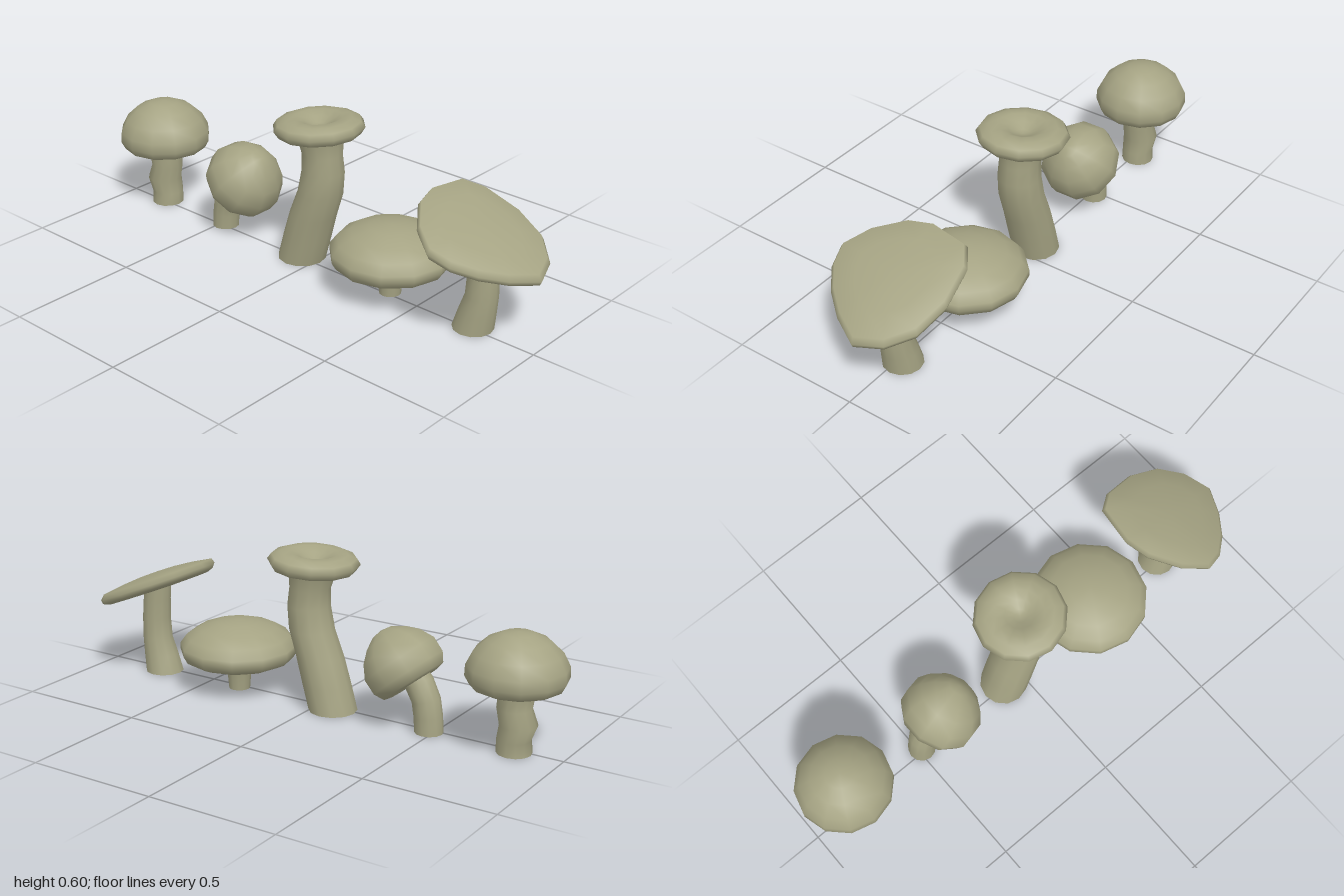
import * as THREE from 'three';
import { mergeVertices } from 'three/addons/utils/BufferGeometryUtils.js';

const material = new THREE.MeshStandardMaterial({ color: 0xa5a383, side: THREE.DoubleSide });
const SIDES = 12;
const Z = -0.017; // depth of the row of mushrooms

function smoothMesh(geometry, name) {
  geometry.deleteAttribute('uv');
  geometry.deleteAttribute('normal');
  const welded = mergeVertices(geometry, 1e-4);
  welded.computeVertexNormals();
  const mesh = new THREE.Mesh(welded, material);
  mesh.name = name;
  return mesh;
}

const lathe = (profile, sides) =>
  new THREE.LatheGeometry(profile.map(([r, y]) => new THREE.Vector2(r, y)), sides);

// Turned cap: profile runs from the underside centre, round the rim, to the crown
function cap(profile, x, y, tilt = 0, sides = SIDES) {
  const mesh = smoothMesh(lathe(profile, sides), 'cap');
  mesh.position.set(x, y, Z);
  mesh.rotation.z = tilt;
  return mesh;
}

// Open bent stem: rings listed from the ground up as [x, y, radius, tilt]
function stem(rings) {
  const g = new THREE.CylinderGeometry(1, 1, 1, SIDES, rings.length - 1, true);
  const p = g.attributes.position;
  for (let i = 0; i < p.count; i++) {
    const row = Math.round((p.getY(i) + 0.5) * (rings.length - 1));
    const [x, y, r, tilt = 0] = rings[row];
    const px = p.getX(i) * r;
    p.setXYZ(i, x + px * Math.cos(tilt), y + px * Math.sin(tilt), Z + p.getZ(i) * r);
  }
  return smoothMesh(g, 'stem');
}

// Irregular sloping cap: lathe rows stretched to an outline and sheared downhill
function shelfCap() {
  const outline = [
    [0.72, 0.245], [0.797, 0.224], [0.872, 0.165], [0.94, 0.08], [0.995, -0.027],
    [0.957, -0.133], [0.877, -0.21], [0.755, -0.24], [0.616, -0.22], [0.547, -0.17],
    [0.525, -0.016], [0.55, 0.08], [0.63, 0.187],
  ];
  const profile = [[0, -0.02], [0.5, -0.024], [0.88, -0.025], [0.97, -0.016], [1, 0.002],
    [0.95, 0.022], [0.6, 0.036], [0.3, 0.043], [0, 0.045]];
  const g = lathe(profile, outline.length);
  const p = g.attributes.position;
  for (let i = 0; i < p.count; i++) {
    const [ox, oz] = outline[Math.floor(i / profile.length) % outline.length];
    const [r, h] = profile[i % profile.length];
    const x = 0.76 + (ox - 0.76) * r;
    p.setXYZ(i, x, 0.363 - 0.41 * (x - 0.755) + h, -0.01 + (oz + 0.01) * r);
  }
  return smoothMesh(g, 'cap');
}

export function createModel() {
  const model = new THREE.Group();
  model.name = 'mushrooms';
  const add = (name, ...parts) => {
    const group = new THREE.Group();
    group.name = name;
    group.add(...parts);
    model.add(group);
  };

  // Round cap on a wavy stem
  add('domedMushroom',
    stem([[-0.82, 0, 0.064], [-0.818, 0.05, 0.062], [-0.833, 0.105, 0.068],
      [-0.815, 0.165, 0.063], [-0.821, 0.21, 0.065], [-0.821, 0.27, 0.068]]),
    cap([[0, 0.262], [0.075, 0.258], [0.1, 0.237], [0.13, 0.235], [0.165, 0.25], [0.181, 0.28],
      [0.179, 0.32], [0.155, 0.368], [0.11, 0.41], [0.055, 0.435], [0, 0.441]], -0.82, 0));

  // Small leaning button
  add('buttonMushroom',
    stem([[-0.482, 0, 0.053], [-0.478, 0.06, 0.053, -0.1], [-0.468, 0.12, 0.053, -0.25],
      [-0.438, 0.18, 0.054, -0.5], [-0.385, 0.235, 0.055, -0.7]]),
    cap([[0, 0], [0.06, -0.012], [0.1, -0.029], [0.132, -0.022], [0.152, 0.012], [0.153, 0.07],
      [0.125, 0.122], [0.085, 0.16], [0.04, 0.187], [0, 0.194]], -0.4, 0.197, -0.69, 10));

  // Tall mushroom with a dished top
  add('tallMushroom',
    stem([[-0.071, 0, 0.092], [-0.043, 0.1, 0.092], [-0.014, 0.2, 0.09], [0.022, 0.3, 0.086],
      [0.035, 0.39, 0.081], [0.03, 0.46, 0.077], [0.02, 0.52, 0.088], [0.016, 0.565, 0.1]]),
    cap([[0, -0.015], [0.1, -0.018], [0.135, -0.035], [0.155, -0.034], [0.172, -0.008],
      [0.158, 0.013], [0.125, 0.026], [0.09, 0.028], [0.055, 0.012], [0.025, -0.004],
      [0, -0.008]], 0.013, 0.568, 0.065));

  // Low broad cap on a short stem
  add('broadMushroom',
    stem([[0.362, 0, 0.041], [0.362, 0.06, 0.046], [0.36, 0.11, 0.054], [0.36, 0.14, 0.062]]),
    cap([[0, 0.135], [0.07, 0.132], [0.15, 0.112], [0.18, 0.113], [0.212, 0.128], [0.227, 0.155],
      [0.226, 0.18], [0.2, 0.215], [0.15, 0.246], [0.08, 0.269], [0, 0.278]], 0.363, 0));

  // Sloping thin cap
  add('slopingMushroom',
    stem([[0.735, 0, 0.075], [0.75, 0.07, 0.068], [0.766, 0.14, 0.059], [0.768, 0.22, 0.056],
      [0.763, 0.3, 0.054], [0.757, 0.36, 0.055, -0.39]]),
    shelfCap());

  return model;
}
